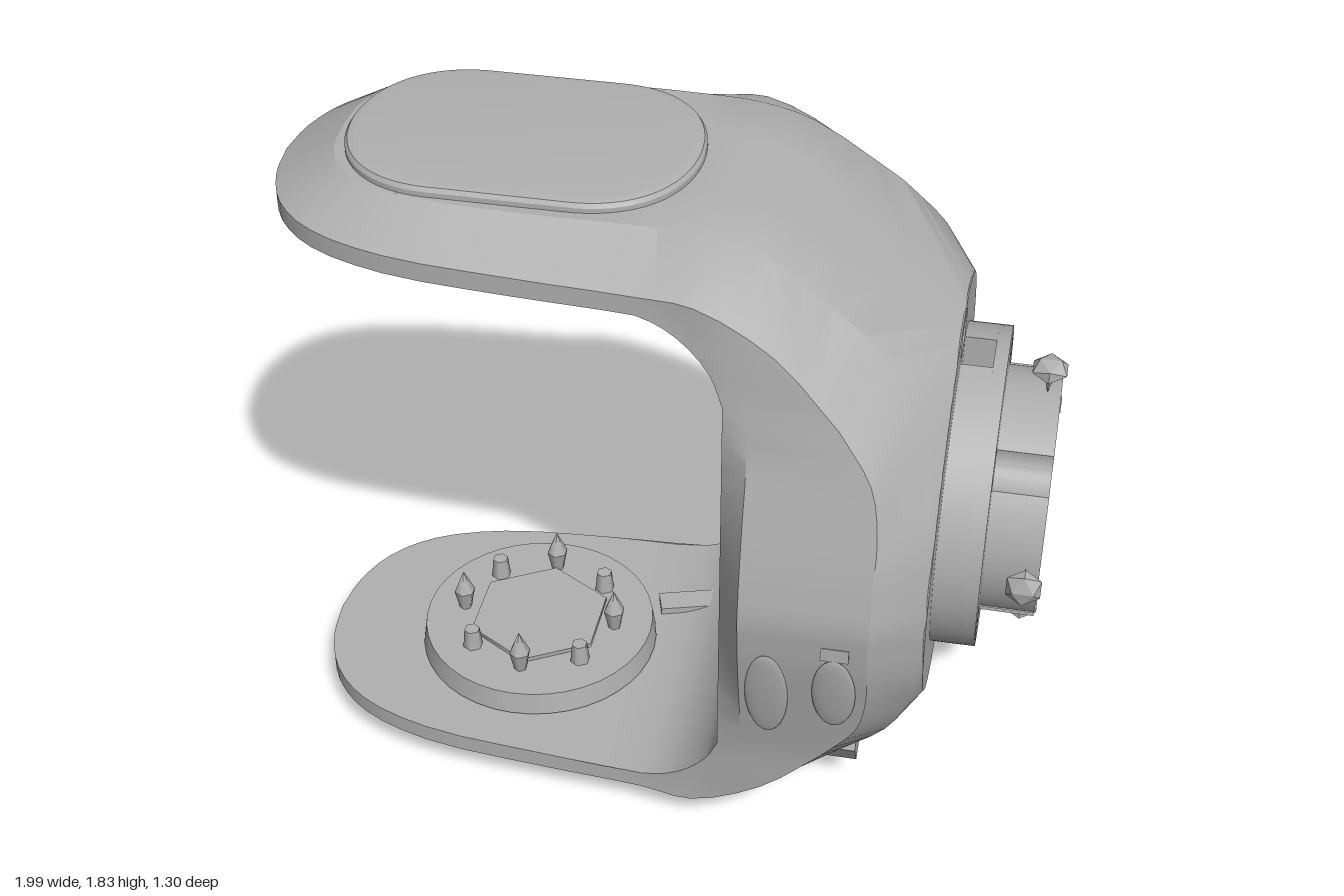
import * as THREE from 'three';
import { toCreasedNormals } from 'three/addons/utils/BufferGeometryUtils.js';

const MID = 0.915; // height of the symmetry plane

export function createModel() {
  const model = new THREE.Group();
  const grey = new THREE.MeshStandardMaterial({ color: 0xb0b0b0, side: THREE.DoubleSide });
  grey.name = 'grey';

  const add = (name, geo, x = 0, y = 0, z = 0, parent = model) => {
    const mesh = new THREE.Mesh(geo, grey);
    mesh.name = name;
    mesh.position.set(x, y, z);
    parent.add(mesh);
    return mesh;
  };
  const polygon = pts => new THREE.Shape(pts.map(p => new THREE.Vector2(p[0], p[1])));
  const ellipse = (C, x, y, rx, ry) => new C().absellipse(x, y, rx, ry, 0, Math.PI * 2);
  const rect = (w, h, y) => polygon([[-w, y - h], [w, y - h], [w, y + h], [-w, y + h]]);
  const extrude = (shape, depth, options) => new THREE.ExtrudeGeometry(shape,
    { depth, bevelEnabled: false, curveSegments: 32, ...options });
  // extrude a (-z, y) shape along +x
  const alongX = (shape, depth) => toCreasedNormals(extrude(shape, depth).rotateY(Math.PI / 2), 0.6);
  // extrude an (x, z) shape downwards
  const downY = (shape, depth, options) =>
    toCreasedNormals(extrude(shape, depth, options).rotateX(Math.PI / 2), 0.6);
  // surface through rows of points, splitting each quad along its shorter diagonal
  const dist = (p, q) => Math.hypot(p[0] - q[0], p[1] - q[1], p[2] - q[2]);
  const loft = (rows, closed, keep = () => true) => {
    const pos = [];
    for (let i = 0; i < rows.length - 1; i++) {
      const count = rows[i].length;
      for (let k = 0; k < (closed ? count : count - 1); k++) {
        if (!keep(i, k)) continue;
        const n = (k + 1) % count;
        const a = rows[i][k], b = rows[i][n], c = rows[i + 1][k], d = rows[i + 1][n];
        if (dist(a, d) < dist(b, c)) pos.push(...a, ...c, ...d, ...a, ...d, ...b);
        else pos.push(...a, ...c, ...b, ...b, ...c, ...d);
      }
    }
    const geo = new THREE.BufferGeometry();
    geo.setAttribute('position', new THREE.Float32BufferAttribute(pos, 3));
    return toCreasedNormals(geo, 0.5);
  };

  // C-shaped yoke: each key lists inner edge, two side edges, ridge and crown as (x, y, half width)
  const arm = (x, w, rx, rw) =>
    [[x, 1.66, w], [x, 1.66, w], [x, 1.71, w], [rx, 1.8, rw], [rx, 1.8, rw * 0.4]];
  const ring = deg => {
    const a = deg * Math.PI / 180;
    return [0.73, MID + 0.55 * Math.sin(a), 0.55 * Math.cos(a)];
  };
  const shoulder = [[0.215, 1.46, 0.53], [0.27, 1.48, 0.535], [0.49, 1.44, 0.54], [0.52, 1.59, 0.36], ring(90)];
  const armKeys = [
    arm(-1, 0, -0.84, 0),
    arm(-0.985, 0.12, -0.83, 0.11),
    arm(-0.93, 0.25, -0.79, 0.2),
    arm(-0.82, 0.355, -0.71, 0.265),
    arm(-0.62, 0.43, -0.56, 0.31),
    arm(-0.3, 0.465, -0.3, 0.325),
    arm(0, 0.485, 0.02, 0.325),
    [[0.1, 1.62, 0.5], [0.12, 1.65, 0.5], [0.14, 1.71, 0.505], [0.15, 1.79, 0.33], [0.15, 1.795, 0.13]],
    [[0.18, 1.54, 0.515], [0.22, 1.6, 0.52], [0.33, 1.61, 0.52], [0.29, 1.75, 0.335], [0.29, 1.755, 0.13]],
    shoulder,
  ];
  const backKeys = [
    shoulder,
    [[0.215, 1.33, 0.53], [0.28, 1.34, 0.565], [0.575, 1.31, 0.567], [0.64, 1.45, 0.4], ring(67.5)],
    [[0.215, 1.2, 0.53], [0.28, 1.2, 0.598], [0.6, 1.18, 0.596], [0.7, 1.29, 0.45], ring(45)],
    [[0.215, 1.06, 0.53], [0.28, 1.06, 0.63], [0.6, 1.05, 0.625], [0.72, 1.12, 0.525], ring(22.5)],
    [[0.215, MID, 0.53], [0.28, MID, 0.65], [0.6, MID, 0.645], [0.72, MID, 0.56], ring(0)],
  ];
  const STEP = 3;
  const smooth = keys => {
    const rails = [0, 1, 2, 3, 4].map(k =>
      new THREE.CatmullRomCurve3(keys.map(s => new THREE.Vector3(...s[k]))));
    const n = (keys.length - 1) * STEP;
    return Array.from({ length: n + 1 }, (_, i) => rails.map(r => r.getPoint(i / n).toArray()));
  };
  const armPart = smooth(armKeys);
  const upper = [...armPart, ...smooth(backKeys).slice(1)];
  const lower = upper.slice(0, -1).reverse().map(s => s.map(([x, y, w]) => [x, 2 * MID - y, w]));
  const stations = [...upper, ...lower].map(s =>
    [...s, ...[...s].reverse().map(([x, y, w]) => [x, y, -w])]);
  const backStart = armPart.length - 1, armEnd = 6 * STEP;
  add('yoke', loft(stations, true, (i, k) => {
    const onBack = i >= backStart && i < stations.length - 1 - backStart;
    if (k === 4) return !onBack;                // closed by the mounting disc
    if (k === 9) return !onBack && i >= armEnd; // closed by the recessed panels
    return true;
  }));

  // inner wall sinks from a rectangular rim to an oval floor
  const funnel = [0, 0.25, 0.5, 0.75, 1].map(t => Array.from({ length: 65 }, (_, i) => {
    const a = (i + 0.5) * Math.PI / 32, c = Math.cos(a), s = Math.sin(a);
    const m = Math.max(Math.abs(c), Math.abs(s));
    const z = THREE.MathUtils.lerp(0.53 * c / m, 0.42 * c, t);
    const y = THREE.MathUtils.lerp(0.545 * s / m, 0.52 * s, t);
    return [0.215 + 0.145 * Math.sin(t * Math.PI / 2), MID + y, z];
  }));
  add('innerWall', loft(funnel, false));

  // round mounting face and its core, pierced by two square holes
  const pierced = (rx, ry) => {
    const s = ellipse(THREE.Shape, 0, MID, rx, ry);
    for (const side of [1, -1]) s.holes.push(rect(0.06, 0.045, MID + side * 0.465));
    return s;
  };
  add('mountingFace', alongX(pierced(0.55, 0.55), 0.004), 0.726);
  add('recessCore', alongX(pierced(0.44, 0.53), 0.366), 0.36);
  add('recessPlate', alongX(polygon([[-0.22, 0.68], [0, 0.56], [0.22, 0.68],
    [0.25, 1.02], [0.12, 1.26], [-0.12, 1.26], [-0.25, 1.02]]), 0.03), 0.335);

  // underside of the upper arm with an oval recess
  const tip = armPart.slice(0, armEnd + 1).map(s => [s[0][0], s[0][2] * 0.998]);
  const under = polygon([...tip, ...tip.slice(1).reverse().map(([x, w]) => [x, -w])]);
  under.holes.push(ellipse(THREE.Path, -0.45, 0, 0.41, 0.36));
  add('armUnderside', downY(under, 0.045), 0, 1.705);
  add('recessFloor', downY(ellipse(THREE.Shape, -0.45, 0, 0.42, 0.37), 0.005), 0, 1.71);
  add('recessBoss', new THREE.CylinderGeometry(0.22, 0.17, 0.05, 32), -0.43, 1.68);

  // raised oval pads on the outer faces
  const pad = new THREE.Shape();
  pad.moveTo(-0.54, -0.3).lineTo(-0.2, -0.3).bezierCurveTo(-0.02, -0.3, 0.07, -0.16, 0.07, 0)
    .bezierCurveTo(0.07, 0.16, -0.02, 0.3, -0.2, 0.3).lineTo(-0.54, 0.3)
    .bezierCurveTo(-0.72, 0.3, -0.82, 0.16, -0.82, 0).bezierCurveTo(-0.82, -0.16, -0.72, -0.3, -0.54, -0.3);
  const bevel = { bevelEnabled: true, bevelThickness: 0.015, bevelSize: 0.025, bevelOffset: -0.025, bevelSegments: 2 };
  add('topPad', downY(pad, 0.02, bevel), 0, 1.813);
  add('bottomPad', downY(pad, 0.02, bevel), 0, 0.037);

  // turntable on the lower arm with alternating tall and short pins
  add('turntable', new THREE.CylinderGeometry(0.325, 0.335, 0.065, 40), -0.4, 0.207);
  add('turntableCap', new THREE.CylinderGeometry(0.2, 0.2, 0.015, 6), -0.4, 0.245);
  for (let i = 0; i < 8; i++) {
    const a = i * Math.PI / 4;
    const pin = new THREE.Group();
    pin.name = 'pin';
    pin.position.set(-0.4 + 0.22 * Math.cos(a), 0.24, 0.22 * Math.sin(a));
    model.add(pin);
    if (i % 2 === 0) {
      add('pinBase', new THREE.CylinderGeometry(0.03, 0.018, 0.06, 6), 0, 0.03, 0, pin);
      add('pinPoint', new THREE.ConeGeometry(0.03, 0.07, 6), 0, 0.095, 0, pin);
    } else add('pinStub', new THREE.CylinderGeometry(0.022, 0.028, 0.06, 6), 0, 0.03, 0, pin);
  }
  const strip = add('armStrip', new THREE.BoxGeometry(0.22, 0.02, 0.07), 0.02, 0.178, -0.22);
  strip.rotation.y = 0.3;

  // flange: two half rings leave slots above and below, with a drilled ring in front
  const slot = 0.06, outer = 0.42, inner = 0.26;
  const a0 = Math.asin(slot / outer), a1 = Math.asin(slot / inner), q = Math.PI / 2;
  for (const turn of [0, Math.PI]) {
    const half = new THREE.Shape();
    half.absarc(0, 0, outer, turn - q + a0, turn + q - a0, false);
    half.absarc(0, 0, inner, turn + q - a1, turn - q + a1, true);
    add('flangeHalf', alongX(half, 0.08), 0.73, MID);
  }
  const flange = ellipse(THREE.Shape, 0, 0, outer, outer);
  flange.holes.push(ellipse(THREE.Path, 0, 0, inner, inner));
  for (const y of [0.25, -0.25]) for (const z of [0.25, -0.25])
    flange.holes.push(ellipse(THREE.Path, z, y, 0.055, 0.055));
  add('flangeRing', alongX(flange, 0.035), 0.81, MID);

  // hub tube with four round grooves for the corner nuts
  const hub = new THREE.Shape();
  for (let i = 0; i < 4; i++) {
    const d = Math.PI / 4 + i * q;
    hub.absarc(0, 0, 0.32, d - q + 0.16, d - 0.16, false);
    hub.absarc(0.354 * Math.cos(d), 0.354 * Math.sin(d), 0.062, d - 2.16, d + 2.16 - Math.PI * 2, true);
  }
  hub.holes.push(ellipse(THREE.Path, 0, 0, inner, inner));
  add('hub', alongX(hub, 0.14), 0.845, MID);

  // faceted nuts around the hub, spikes inside it
  for (let i = 0; i < 8; i++) {
    const straight = i % 2 === 0;
    const fastener = new THREE.Group();
    fastener.name = 'hubFastener';
    fastener.position.set(straight ? 0.95 : 0.8, MID, 0);
    fastener.rotation.x = i * Math.PI / 4;
    model.add(fastener);
    const nut = add('nut', new THREE.IcosahedronGeometry(0.052, 0), 0, straight ? 0.39 : 0.354, 0, fastener);
    if (!straight) continue;
    nut.scale.set(0.97, 0.6, 1);
    const stem = add('nutPoint', new THREE.ConeGeometry(0.014, 0.06, 4), 0, 0.345, 0, fastener);
    stem.rotation.x = Math.PI;
    const spike = add('spike', new THREE.ConeGeometry(0.028, 0.09, 4), -0.02, 0.215, 0, fastener);
    spike.rotation.x = Math.PI;
  }

  // shallow teardrops and hooks on both cheeks
  for (const s of [1, -1]) {
    for (const [x, y, h] of [[0.35, 0.64, 0.165], [0.52, 0.68, 0.14]]) {
      const drop = add('cheekDrop', new THREE.SphereGeometry(1, 20, 14), x, y, s * (0.6 + (y - 0.64) * 0.22));
      drop.scale.set(0.055, h, 0.012);
      drop.rotation.x = s * 0.22;
    }
    add('cheekHook', new THREE.BoxGeometry(0.07, 0.04, 0.03), 0.52, 0.835, s * 0.625);
  }

  // small wedge under the back
  add('wedge', alongX(polygon([[-0.34, 0.22], [-0.28, 0.13], [-0.05, 0.25], [-0.31, 0.31]]), 0.1), 0.46);

  return model;
}
